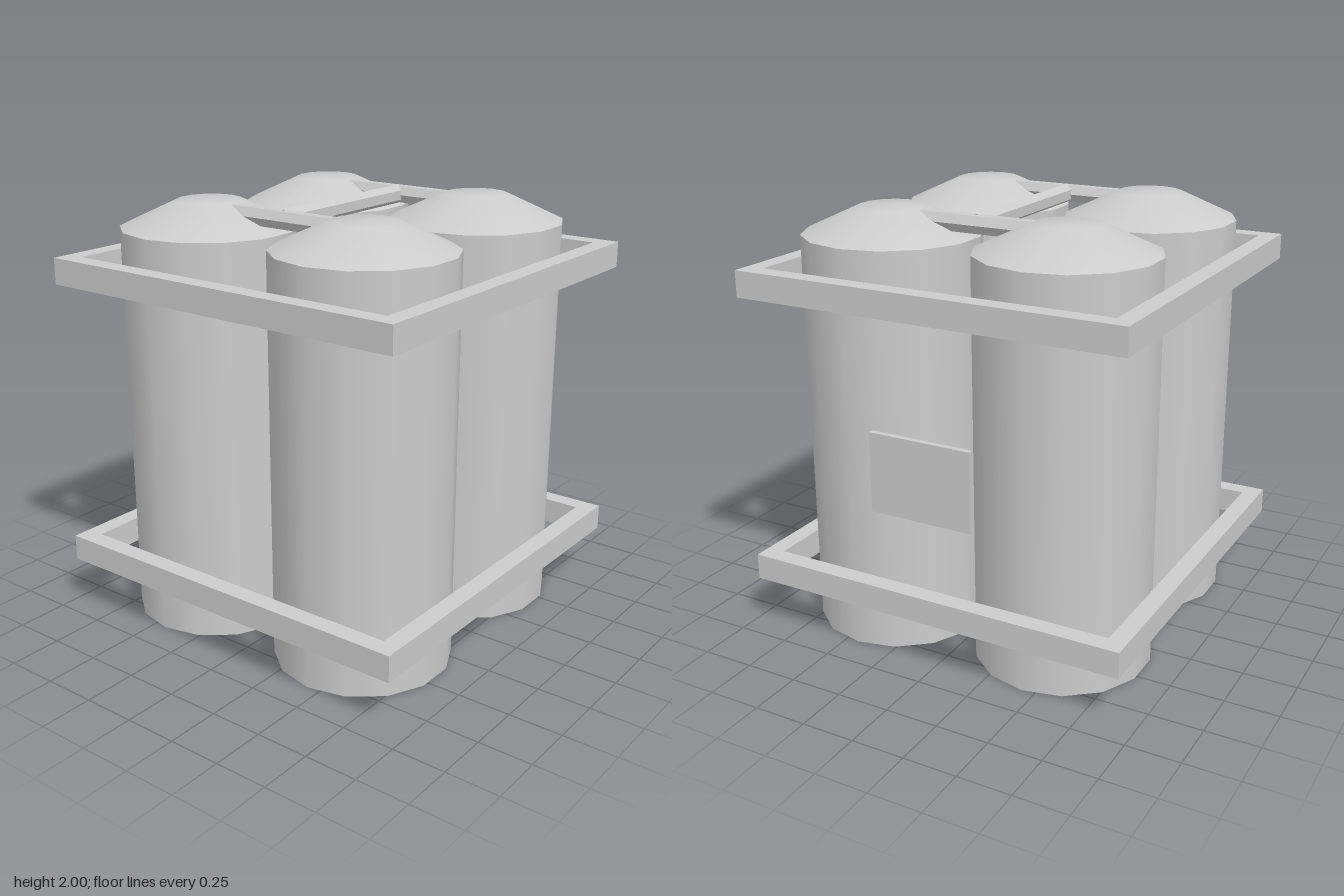
import * as THREE from 'three';

export function createModel() {
  const model = new THREE.Group();
  const steel = new THREE.MeshStandardMaterial({ color: 0xcccccc, side: THREE.DoubleSide });
  steel.name = 'light grey steel';
  const pipeSteel = steel;

  function add(name, geometry, x = 0, y = 0, z = 0) {
    const mesh = new THREE.Mesh(geometry, pipeSteel);
    mesh.name = name;
    mesh.position.set(x, y, z);
    model.add(mesh);
    return mesh;
  }

  // Flat facets for the hexagonal pipes
  function faceted(geometry) {
    const flat = geometry.toNonIndexed();
    flat.computeVertexNormals();
    return flat;
  }

  const tankX = 0.437, frontZ = 0.44, backZ = -0.432;

  // Four upright tanks: open-bottomed wall and shallow rounded top
  const wall = new THREE.CylinderGeometry(0.41, 0.41, 1.88, 14, 1, true);
  const dome = new THREE.LatheGeometry([
    new THREE.Vector2(0.41, 1.88),
    new THREE.Vector2(0.15, 2),
    new THREE.Vector2(0, 2),
  ], 14);
  for (const x of [-tankX, tankX]) {
    for (const z of [frontZ, backZ]) {
      add('tankWall', wall, x, 0.94, z);
      add('tankTop', dome, x, 0, z);
    }
  }

  // Two square retaining frames
  const square = (Target, r) => new Target([
    new THREE.Vector2(-r, -r), new THREE.Vector2(r, -r),
    new THREE.Vector2(r, r), new THREE.Vector2(-r, r),
  ]);
  const outline = square(THREE.Shape, 0.935);
  outline.holes.push(square(THREE.Path, 0.848));
  const frame = new THREE.ExtrudeGeometry(outline, { depth: 0.123, bevelEnabled: false });
  frame.rotateX(-Math.PI / 2);
  add('lowerFrame', frame, 0, 0.252, 0.006);
  add('upperFrame', frame, 0, 1.628, 0.006);

  // Hexagonal manifold pipes joining the tank tops
  const crossPipe = faceted(new THREE.CylinderGeometry(0.045, 0.045, 2 * tankX, 6).rotateZ(Math.PI / 2));
  for (const z of [frontZ, backZ]) add('crossPipe', crossPipe, 0, 1.955, z);
  const linkPipe = faceted(new THREE.CylinderGeometry(0.045, 0.045, frontZ - backZ, 6).rotateX(Math.PI / 2));
  add('linkPipe', linkPipe, 0, 1.955, (frontZ + backZ) / 2);

  // Blank plate on the back
  add('backPlate', new THREE.BoxGeometry(0.5, 0.37, 0.026), 0, 0.94, -0.93);

  return model;
}
